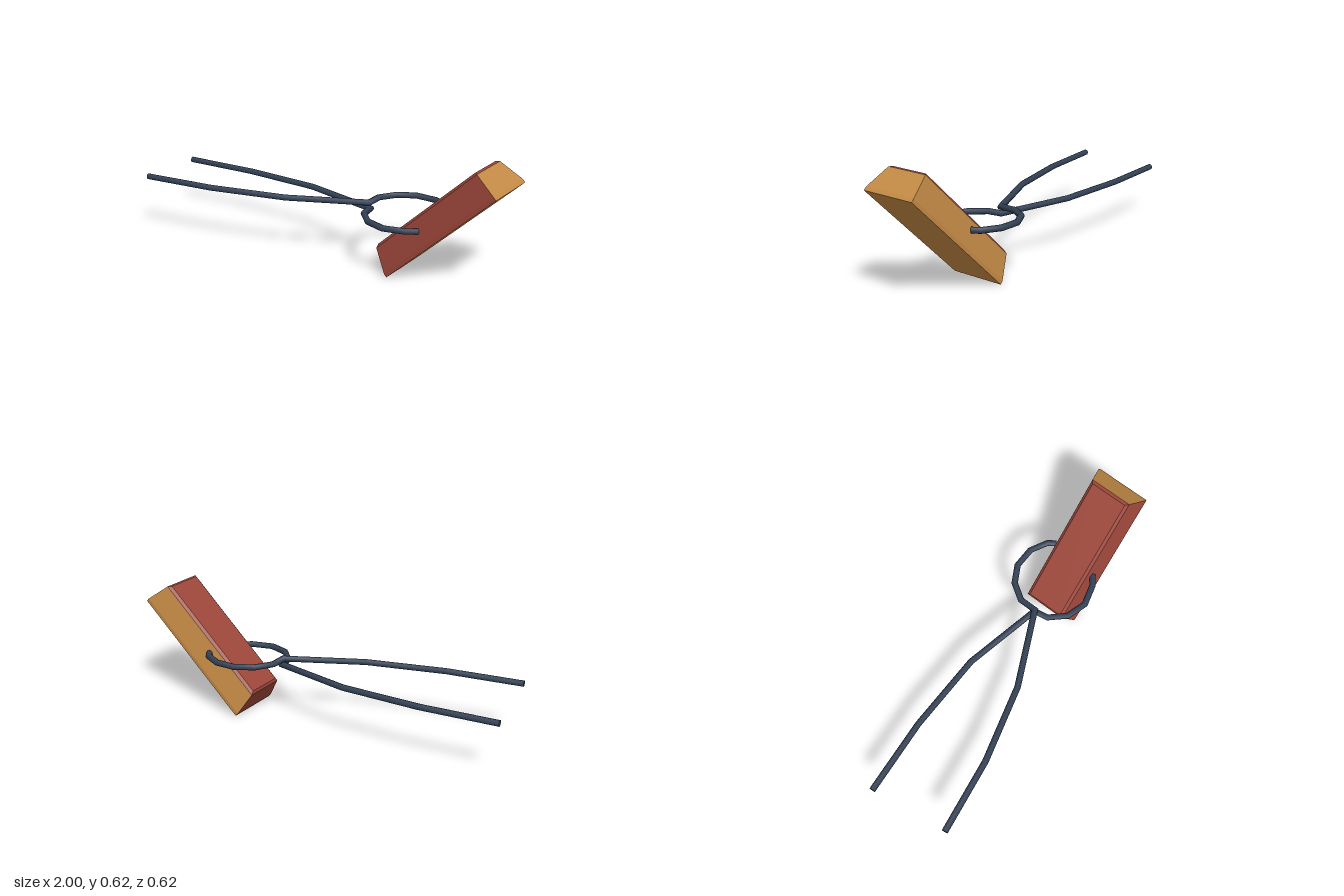
import * as THREE from 'three';

const SIDES = 8;
const R = 0.0163;

// Mitred round bar along a flat [x, z] path at height y, with sharp end caps
function barGeometry(path, y) {
  const pts = path.map(([x, z]) => new THREE.Vector3(x, y, z));
  const pos = [], index = [];
  const last = pts.length - 1;
  const dir = (i) => pts[i + 1].clone().sub(pts[i]).normalize();
  const ring = (i) => {
    const a = dir(Math.max(i - 1, 0)), b = dir(Math.min(i, last - 1));
    const t = a.clone().add(b).normalize();
    const stretch = R / Math.max(t.dot(b), 0.6);
    const start = pos.length / 3;
    for (let j = 0; j < SIDES; j++) {
      const ang = (j / SIDES) * Math.PI * 2;
      const c = Math.cos(ang) * stretch;
      pos.push(pts[i].x + t.z * c, y + Math.sin(ang) * R, pts[i].z - t.x * c);
    }
    return start;
  };
  pts.forEach((p, i) => ring(i));
  for (let i = 0; i < last; i++) {
    for (let j = 0; j < SIDES; j++) {
      const k = (j + 1) % SIDES;
      const a = i * SIDES + j, b = i * SIDES + k;
      index.push(a, b, b + SIDES, a, b + SIDES, a + SIDES);
    }
  }
  const first = ring(0), end = ring(last);
  for (let j = 1; j < SIDES - 1; j++) {
    index.push(first, first + j + 1, first + j, end, end + j, end + j + 1);
  }
  const g = new THREE.BufferGeometry();
  g.setAttribute('position', new THREE.Float32BufferAttribute(pos, 3));
  g.setIndex(index);
  g.computeVertexNormals();
  return g;
}

function flatGeometry(quads) {
  const pos = [];
  for (const [a, b, c, d] of quads) pos.push(...a, ...b, ...c, ...a, ...c, ...d);
  const g = new THREE.BufferGeometry();
  g.setAttribute('position', new THREE.Float32BufferAttribute(pos, 3));
  g.computeVertexNormals();
  return g;
}

export function createModel() {
  const model = new THREE.Group();
  const steel = new THREE.MeshStandardMaterial({ color: 0x334155 });
  const red = new THREE.MeshStandardMaterial({ color: 0x9c463a });
  const orange = new THREE.MeshStandardMaterial({ color: 0xc48a45 });

  const add = (parent, name, geometry, material) => {
    const mesh = new THREE.Mesh(geometry, material);
    mesh.name = name;
    parent.add(mesh);
  };

  // Tongs: two bars crossing at the pivot, one on top of the other
  const tongs = new THREE.Group();
  tongs.name = 'tongs';
  model.add(tongs);
  add(tongs, 'upperTongArm', barGeometry([
    [-0.94, 0.292], [-0.55, 0.23], [-0.15, 0.118], [0.235, -0.07], [0.235, -0.16],
    [0.29, -0.245], [0.38, -0.296], [0.49, -0.296], [0.58, -0.25], [0.605, -0.212],
  ], 0.309), steel);
  add(tongs, 'lowerTongArm', barGeometry([
    [-0.998, -0.122], [-0.6, -0.16], [-0.18, -0.16], [0.24, -0.075], [0.252, 0],
    [0.325, 0.077], [0.43, 0.108], [0.54, 0.077], [0.59, 0.04],
  ], 0.277), steel);

  // Ingot: tapered block with a short lip and a bevelled top
  const ingot = new THREE.Group();
  ingot.name = 'ingot';
  const tilt = THREE.MathUtils.degToRad(43.2);
  ingot.rotation.z = tilt;
  ingot.position.set(0.43 + 0.388 * Math.cos(tilt), 0.388 * Math.sin(tilt), -0.086);
  model.add(ingot);

  // Each level: height, half length, half width
  const levels = [[0, 0.388, 0.149], [0.02, 0.388, 0.149], [0.148, 0.363, 0.115], [0.16, 0.35, 0.1]];
  const rings = levels.map(([h, l, w]) => [[-l, h, w], [l, h, w], [l, h, -w], [-l, h, -w]]);
  const redQuads = [rings[3]];
  const orangeQuads = [[...rings[0]].reverse()];
  for (let i = 0; i < 3; i++) {
    for (let j = 0; j < 4; j++) {
      const k = (j + 1) % 4;
      const glowing = i < 2 && (j === 1 || j === 2); // raised end and back side
      (glowing ? orangeQuads : redQuads).push(
        [rings[i][j], rings[i][k], rings[i + 1][k], rings[i + 1][j]]);
    }
  }
  add(ingot, 'ingotRedFaces', flatGeometry(redQuads), red);
  add(ingot, 'ingotOrangeFaces', flatGeometry(orangeQuads), orange);

  return model;
}
